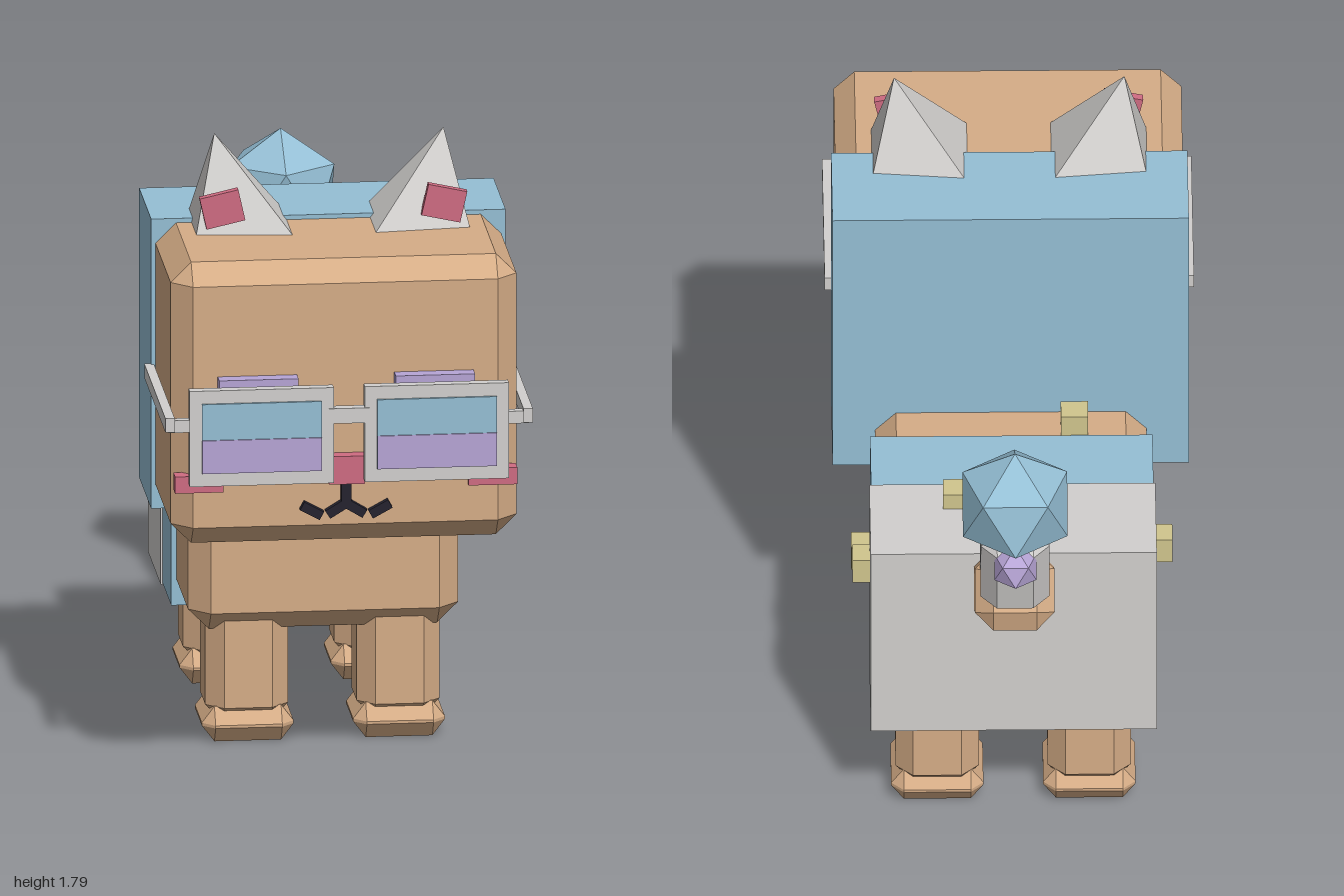
import * as THREE from 'three';
import { ConvexGeometry } from 'three/addons/geometries/ConvexGeometry.js';

const material = (name, color) => {
  const m = new THREE.MeshStandardMaterial({ color });
  m.name = name;
  return m;
};

// Box with flat chamfers, given full size and chamfer depth (cy for the vertical one)
function chamferBox(w, h, d, c, cy = c) {
  const half = [w / 2, h / 2, d / 2];
  const cut = [c, cy, c];
  const points = [];
  for (let axis = 0; axis < 3; axis++)
    for (const sx of [-1, 1]) for (const sy of [-1, 1]) for (const sz of [-1, 1]) {
      const p = [sx, sy, sz].map((s, i) => s * (half[i] - (i === axis ? 0 : cut[i])));
      points.push(new THREE.Vector3(...p));
    }
  return new ConvexGeometry(points);
}

export function createModel() {
  const tan = material('tan fur', 0xd6ad87);
  const blue = material('soft blue', 0x95bfd5);
  const grey = material('light grey', 0xd2d0ce);
  const pink = material('pink', 0xcf6c82);
  const purple = material('lilac', 0xb7a5d6);
  const yellow = material('pale yellow', 0xd1c68e);
  const black = material('near black', 0x25232f);

  const model = new THREE.Group();
  model.name = 'cat';

  const add = (name, geometry, mat, x, y, z, parent = model) => {
    const mesh = new THREE.Mesh(geometry, mat);
    mesh.name = name;
    mesh.position.set(x, y, z);
    parent.add(mesh);
    return mesh;
  };
  // Plain box from its limits on each axis
  const box = (name, mat, [x0, x1], [y0, y1], [z0, z1], parent = model) =>
    add(name, new THREE.BoxGeometry(x1 - x0, y1 - y0, z1 - z0), mat,
      (x0 + x1) / 2, (y0 + y1) / 2, (z0 + z1) / 2, parent);
  const mirrored = (s, a, b) => (s > 0 ? [a, b] : [-b, -a]);

  // Body with its two bands
  add('body', chamferBox(0.75, 0.565, 0.89, 0.058), tan, 0, 0.603, -0.1);
  box('bodyBlueBand', blue, [-0.39, 0.39], [0.305, 0.895], [-0.25, -0.015]);
  box('bodyGreyBand', grey, [-0.395, 0.395], [0.3, 0.9], [-0.58, -0.25]);

  // Head and the block behind it
  add('head', chamferBox(0.96, 0.805, 0.76, 0.057), tan, 0, 1.125, 0.51);
  box('headBackBlock', blue, [-0.492, 0.492], [0.71, 1.54], [0.11, 0.43]);

  // Legs and paws
  const legShape = chamferBox(0.23, 0.4, 0.23, 0.048);
  const pawShape = chamferBox(0.255, 0.1, 0.255, 0.035, 0.046);
  for (const [end, z] of [['front', 0.2], ['back', -0.395]])
    for (const [side, x] of [['Left', 0.21], ['Right', -0.21]]) {
      add(`${end}${side}Leg`, legShape, tan, x, 0.25, z);
      add(`${end}${side}Paw`, pawShape, tan, x, 0.05, z + 0.005);
    }

  // Yellow cubes dotted over the body
  const spotShape = new THREE.BoxGeometry(0.075, 0.075, 0.075);
  for (const p of [[-0.175, 0.91, 0.035], [0.155, 0.91, -0.33], [0.405, 0.715, -0.365],
    [0.405, 0.525, -0.04], [-0.405, 0.67, -0.215]])
    add('spot', spotShape, yellow, ...p);

  // Four-sided ears
  const earShape = new THREE.ConeGeometry(0.205, 0.3, 4, 1).toNonIndexed();
  earShape.rotateY(Math.PI / 4);
  earShape.translate(0, 0.15, 0);
  earShape.computeVertexNormals();

  const glasses = new THREE.Group();
  glasses.name = 'glasses';
  model.add(glasses);

  // Rectangular rim with a hole
  const rim = new THREE.Shape();
  rim.moveTo(-0.2, -0.137).lineTo(0.2, -0.137).lineTo(0.2, 0.137).lineTo(-0.2, 0.137).closePath();
  const hole = new THREE.Path();
  hole.moveTo(-0.166, -0.1).lineTo(-0.166, 0.1).lineTo(0.166, 0.1).lineTo(0.166, -0.1).closePath();
  rim.holes.push(hole);
  const rimShape = new THREE.ExtrudeGeometry(rim, { depth: 0.03, bevelEnabled: false });

  for (const s of [-1, 1]) {
    const side = s > 0 ? 'left' : 'right';
    const ear = add(`${side}Ear`, earShape, grey, s * 0.254, 1.492, 0.443);
    ear.rotation.z = -s * 0.215;
    const inner = add(`${side}InnerEar`, new THREE.BoxGeometry(0.11, 0.09, 0.025), pink, s * 0.308, 1.6, 0.555);
    inner.rotation.z = -s * 0.22;

    // Eye, pupil and glint
    box(`${side}Eye`, purple, mirrored(s, 0.135, 0.355), [0.922, 1.212], [0.87, 0.932]);
    box(`${side}Pupil`, black, mirrored(s, 0.205, 0.285), [0.98, 1.15], [0.93, 0.941]);
    box(`${side}Glint`, grey, [s * 0.245 - 0.075, s * 0.245 - 0.015], [1.09, 1.15], [0.93, 0.946]);

    // Glasses: rim, two-tone lens, hinge and arm
    add(`${side}Rim`, rimShape, grey, s * 0.243, 1.063, 0.959, glasses);
    box(`${side}Lens`, blue, mirrored(s, 0.077, 0.409), [0.965, 1.163], [0.974, 0.996], glasses);
    box(`${side}LensTint`, purple, mirrored(s, 0.077, 0.409), [0.965, 1.06], [0.995, 1], glasses);
    box(`${side}Hinge`, grey, mirrored(s, 0.43, 0.5), [1.08, 1.115], [0.955, 0.98], glasses);
    box(`${side}Arm`, grey, mirrored(s, 0.484, 0.51), [1.083, 1.123], [0.42, 0.985], glasses);

    // Cheek and mouth strokes
    box(`${side}Cheek`, pink, mirrored(s, 0.34, 0.475), [0.885, 0.933], [0.86, 0.907]);
    const strokes = [[0.025, 0.829, -0.55], [0.095, 0.825, 0.5]];
    for (const [x, y, tilt] of strokes)
      add(`${side}Mouth`, new THREE.BoxGeometry(0.062, 0.026, 0.03), black, s * x, y, 0.895)
        .rotation.z = s * tilt;
  }
  box('bridge', grey, [-0.056, 0.056], [1.097, 1.14], [0.962, 0.992], glasses);
  box('nose', pink, [-0.05, 0.05], [0.905, 0.985], [0.87, 0.93]);
  box('mouthStem', black, [-0.014, 0.014], [0.835, 0.91], [0.88, 0.91]);

  // Tail: two tilted pieces, a big ball and a small one
  add('tailBase', chamferBox(0.22, 0.35, 0.22, 0.05), tan, 0, 0.857, -0.69).rotation.x = -0.977;
  add('tailTip', chamferBox(0.19, 0.3, 0.19, 0.045), grey, 0, 1.055, -0.815).rotation.x = -0.23;
  const ball = (name, r, mat, y, z) => {
    const shape = new THREE.IcosahedronGeometry(r, 0);
    shape.rotateX(-1.0172); // one corner straight up
    add(name, shape, mat, 0, y, z);
  };
  ball('tailBall', 0.17, blue, 1.26, -0.848);
  ball('tailSmallBall', 0.068, purple, 1.105, -0.93);

  return model;
}
